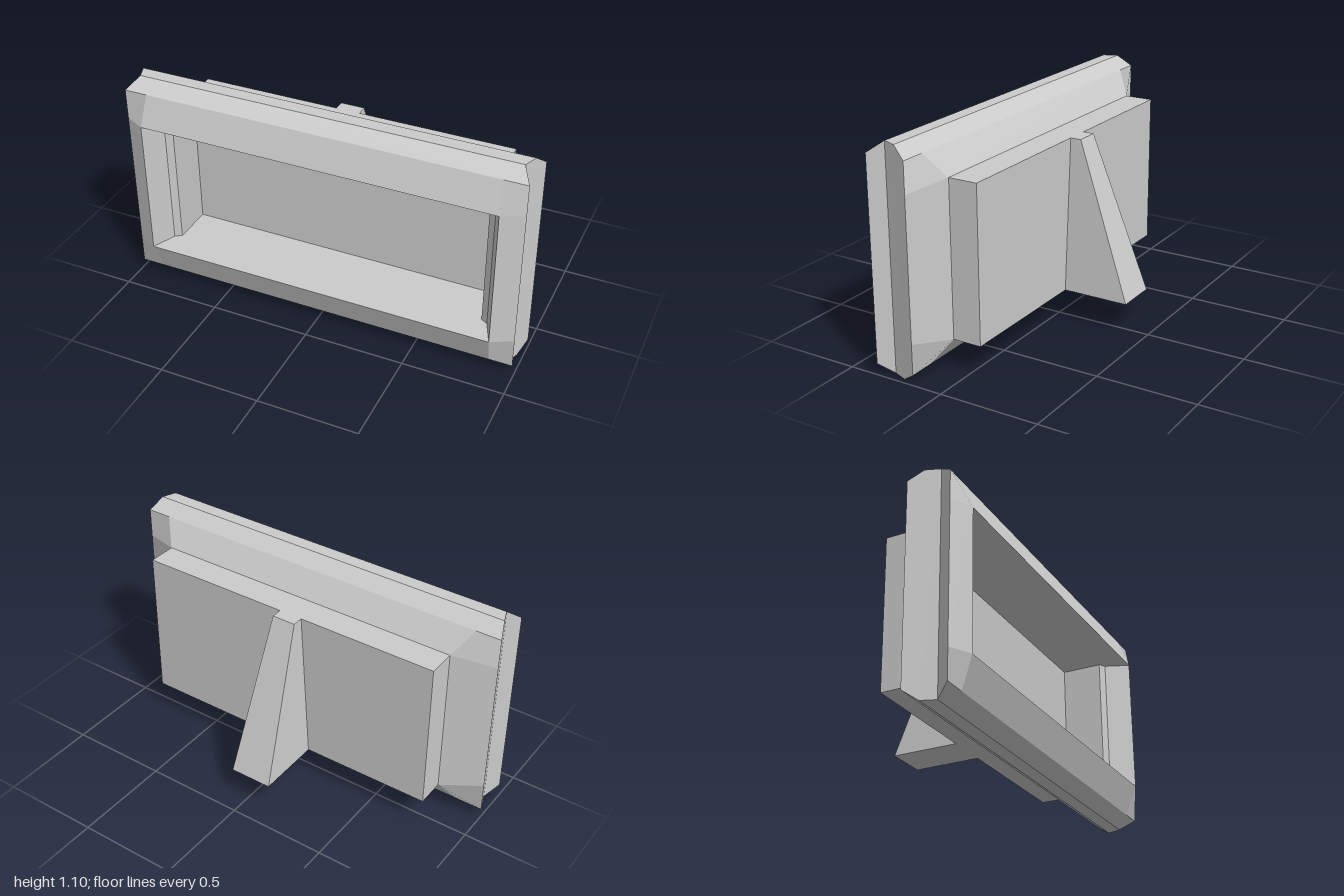
import * as THREE from 'three';

const material = new THREE.MeshStandardMaterial({ color: 0xcccccc });

// Rectangle ring, counter-clockwise seen from the front
const ring = (hx, y0, y1, z) => [[hx, y0, z], [hx, y1, z], [-hx, y1, z], [-hx, y0, z]];

// Mesh from four-cornered faces, each with one flat normal
function quadMesh(name, quads) {
  const pos = [], nor = [];
  for (const q of quads) {
    const [a, b, c, d] = q.map(p => new THREE.Vector3(...p));
    const n = c.clone().sub(a).cross(d.clone().sub(b)).normalize();
    for (const v of [a, b, c, a, c, d]) {
      pos.push(v.x, v.y, v.z);
      nor.push(n.x, n.y, n.z);
    }
  }
  const g = new THREE.BufferGeometry();
  g.setAttribute('position', new THREE.Float32BufferAttribute(pos, 3));
  g.setAttribute('normal', new THREE.Float32BufferAttribute(nor, 3));
  const mesh = new THREE.Mesh(g, material);
  mesh.name = name;
  return mesh;
}

// Faces joining rings listed front to back, facing outward
function loft(rings) {
  const quads = [];
  for (let r = 0; r < rings.length - 1; r++) {
    const f = rings[r], k = rings[r + 1];
    for (let i = 0; i < 4; i++) {
      const j = (i + 1) % 4;
      quads.push([f[i], k[i], k[j], f[j]]);
    }
  }
  return quads;
}

// Sloped border with separate corner facets, from a small ring to a large one
function bevel(small, large, back) {
  const sx = 0.875, lo = 0.2, hi = 0.895;
  const [hx, y0, z] = large[0], y1 = large[1][1];
  const sides = [
    [[hx, lo, z], [hx, hi, z]],
    [[sx, y1, z], [-sx, y1, z]],
    [[-hx, hi, z], [-hx, lo, z]],
    [[-sx, y0, z], [sx, y0, z]],
  ];
  const quads = [];
  sides.forEach(([p, q], i) => {
    const j = (i + 1) % 4;
    quads.push([small[i], p, q, small[j]]);
    quads.push([small[j], q, large[j], sides[j][0]]);
  });
  return back ? quads.map(([a, b, c, d]) => [a, d, c, b]) : quads;
}

export function createModel() {
  const group = new THREE.Group();

  // Outer frame: front bevel, grooved rim, rear bevel
  const opening = ring(0.885, 0.2, 0.895, 0.415);
  const rim = [
    ring(0.99, 0.05, 1.045, 0.36),
    ring(0.945, 0, 1.098, 0.29),
    ring(0.972, 0, 1.098, 0.22),
    ring(1.0, 0.05, 1.045, 0.15),
  ];
  const rear = ring(0.8, 0.165, 0.93, 0.068);
  group.add(quadMesh('frontBevel', bevel(opening, rim[0], false)));
  group.add(quadMesh('rim', loft(rim)));
  group.add(quadMesh('rearBevel', bevel(rear, rim[3], true)));

  // Recess: stepped side walls leading to the screen
  const screen = ring(0.802, 0.2, 0.895, 0.068);
  const recess = [screen, ring(0.802, 0.2, 0.895, 0.275), ring(0.835, 0.2, 0.895, 0.295), opening];
  group.add(quadMesh('recessWalls', loft(recess)));
  group.add(quadMesh('screen', [screen]));

  // Rear housing
  const back = ring(0.8, 0.165, 0.93, -0.077);
  group.add(quadMesh('rearHousing', [...loft([rear, back]), [...back].reverse()]));

  // Tapered rear support
  const level = (x0, x1, y, z0, z1) => [[x0, y, z1], [x1, y, z1], [x1, y, z0], [x0, y, z0]];
  const base = level(-0.145, 0.07, 0.165, -0.413, -0.077);
  const top = level(-0.097, 0.023, 0.93, -0.132, -0.077);
  const support = [top, [...base].reverse()];
  for (let i = 0; i < 4; i++) {
    const j = (i + 1) % 4;
    support.push([base[i], base[j], top[j], top[i]]);
  }
  group.add(quadMesh('rearSupport', support));

  return group;
}
